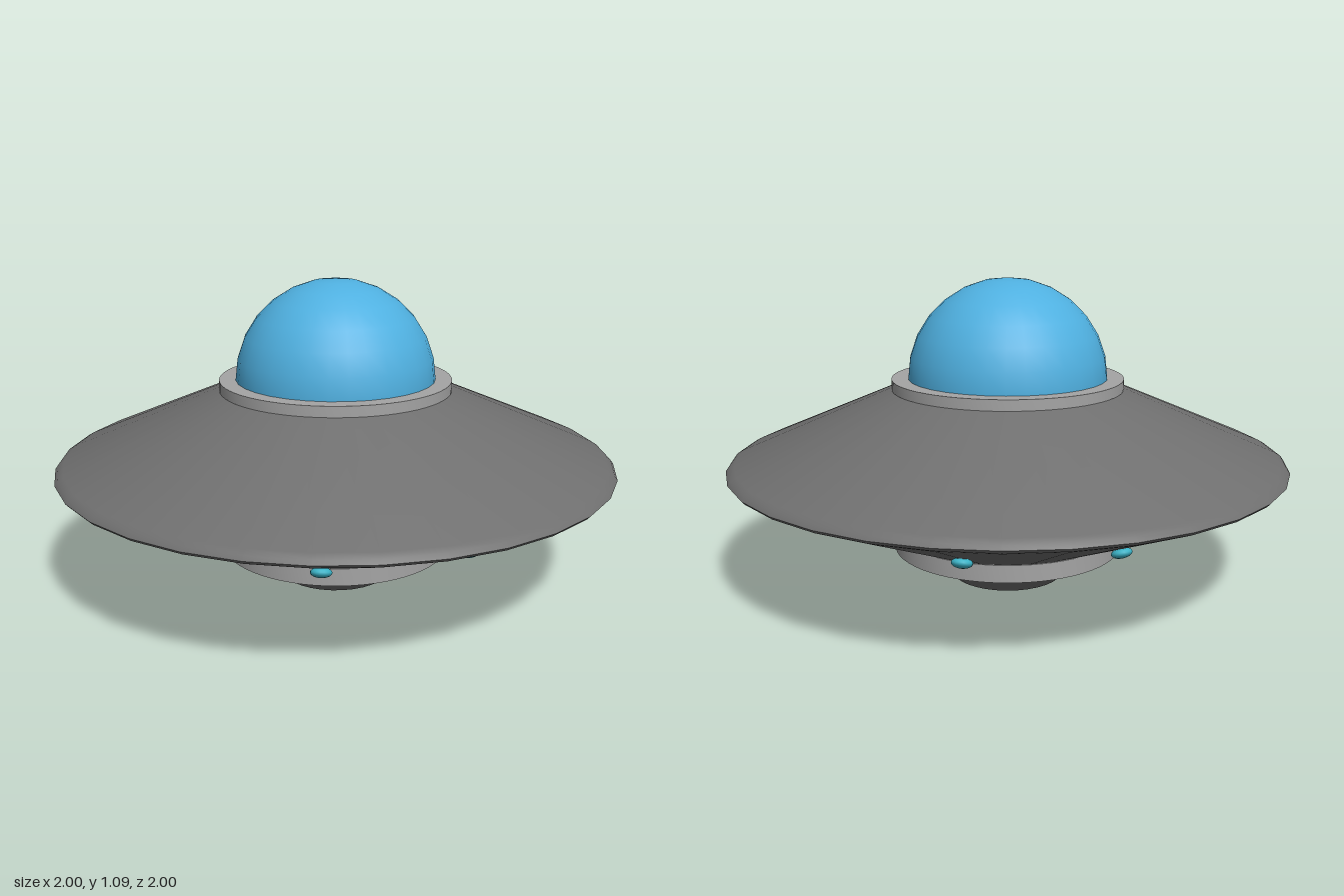
import * as THREE from 'three';
import { toCreasedNormals } from 'three/addons/utils/BufferGeometryUtils.js';

function material(name, color) {
  const m = new THREE.MeshStandardMaterial({ color });
  m.name = name;
  return m;
}

export function createModel() {
  const model = new THREE.Group();
  model.name = 'flyingSaucer';

  const hullGrey = material('hull grey', 0x6f6f6f);
  const trimGrey = material('trim grey', 0xa4a4a4);
  const domeBlue = material('dome blue', 0x4fb0e0);
  const lampTeal = material('lamp teal', 0x3cb4c8);

  // Turns a [radius, height] profile, listed from the bottom up, about the y axis
  function turned(name, profile, mat, segments) {
    const points = profile.map(([r, y]) => new THREE.Vector2(r, y));
    const geometry = toCreasedNormals(new THREE.LatheGeometry(points, segments), 0.6);
    const mesh = new THREE.Mesh(geometry, mat);
    mesh.name = name;
    model.add(mesh);
    return mesh;
  }

  // Double-cone hull with a rounded rim
  turned('hull', [
    [0.4, 0.17], [0.97, 0.415], [0.99, 0.424], [1, 0.435],
    [0.99, 0.449], [0.97, 0.461], [0.4, 0.705],
  ], hullGrey, 32);

  // Trim rings above and below the hull
  turned('upperRing', [[0, 0.7], [0.415, 0.7], [0.415, 0.738], [0, 0.738]], trimGrey, 64);
  turned('lowerRing', [[0, 0.113], [0.415, 0.113], [0.415, 0.175], [0, 0.175]], trimGrey, 64);

  // Tapered base with a round opening
  turned('base', [[0.16, 0], [0.2, 0], [0.33, 0.114]], hullGrey, 32);
  turned('baseOpening', [[0.16, 0.114], [0.16, 0]], trimGrey, 32);

  // Cockpit dome
  const dome = new THREE.Mesh(
    new THREE.SphereGeometry(0.357, 32, 7, 0, Math.PI * 2, 0, Math.PI / 2), domeBlue);
  dome.name = 'dome';
  dome.position.y = 0.735;
  model.add(dome);

  // Flattened lamps lying on the underside slope
  const lampGeometry = new THREE.SphereGeometry(0.035, 16, 10).scale(1, 0.5, 1);
  const lamps = new THREE.Group();
  lamps.name = 'lamps';
  for (let i = 0; i < 8; i++) {
    const arm = new THREE.Group();
    arm.rotation.y = (i * Math.PI) / 4;
    const lamp = new THREE.Mesh(lampGeometry, lampTeal);
    lamp.name = 'lamp';
    lamp.position.set(0, 0.272, 0.668);
    lamp.rotation.x = -0.406;
    arm.add(lamp);
    lamps.add(arm);
  }
  model.add(lamps);

  return model;
}
